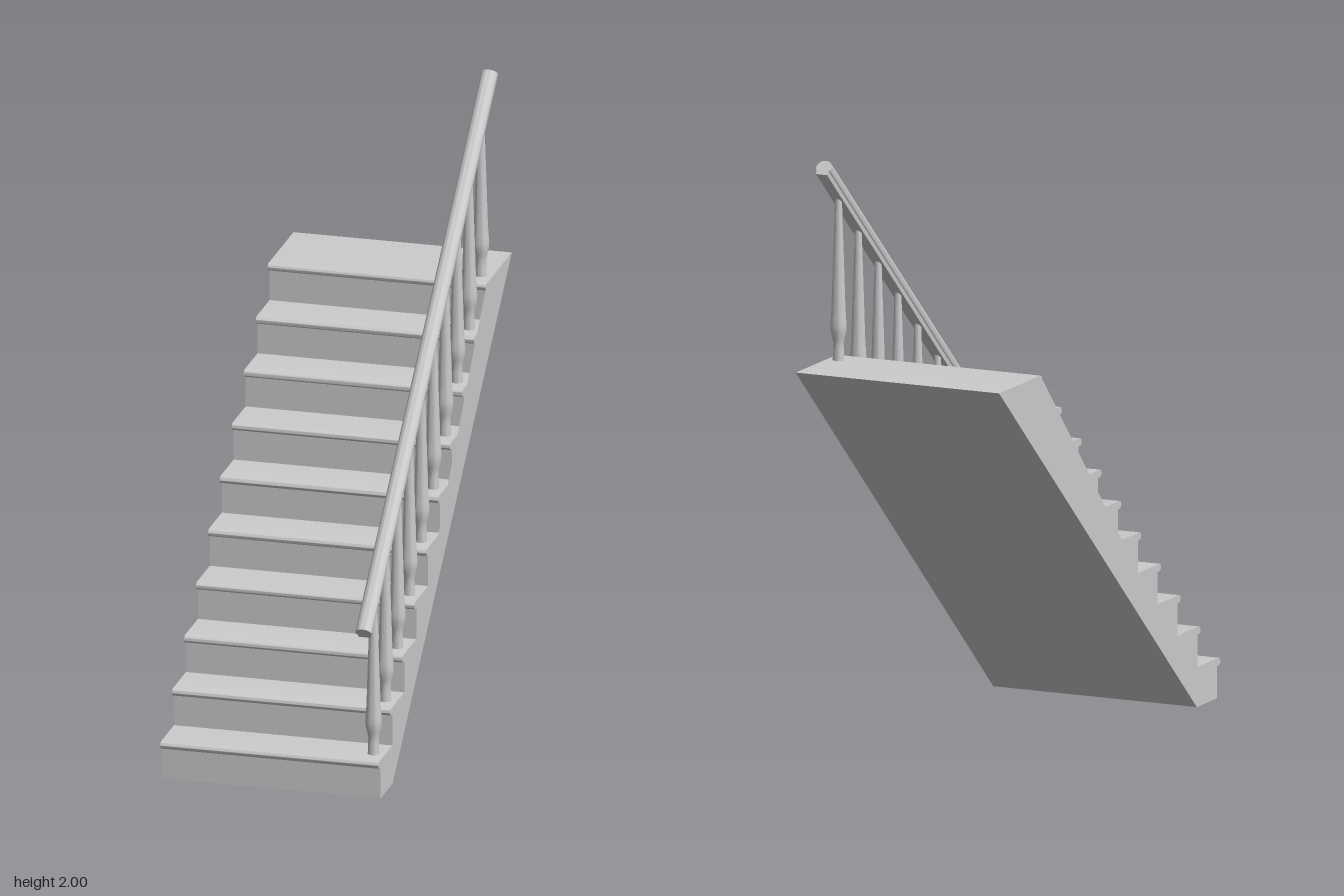
import * as THREE from 'three';
import { toCreasedNormals } from 'three/addons/utils/BufferGeometryUtils.js';

const STEPS = 10, RISE = 0.1322, RUN = 0.1463, WIDTH = 0.734;
const material = new THREE.MeshStandardMaterial({ color: 0xcccccc });

function addMesh(parent, name, geometry) {
  const mesh = new THREE.Mesh(geometry, material);
  mesh.name = name;
  parent.add(mesh);
  return mesh;
}

// Side profile (z, y) with a rounded nosing on every tread
function flightGeometry() {
  const shape = new THREE.Shape();
  const r = 0.0125;
  shape.moveTo(0.615, 0);
  for (let i = 0; i < STEPS; i++) {
    const riser = 0.765 - i * RUN;
    const top = (i + 1) * RISE;
    shape.lineTo(riser, i * RISE);
    shape.lineTo(riser, top - 2 * r);
    shape.absarc(riser + 0.024 - r, top - r, r, -Math.PI / 2, Math.PI / 2, false);
  }
  shape.lineTo(-0.845, STEPS * RISE);
  shape.closePath();
  const geometry = new THREE.ExtrudeGeometry(shape, { depth: WIDTH, bevelEnabled: false, curveSegments: 8 });
  geometry.translate(0, 0, -WIDTH / 2);
  geometry.rotateY(-Math.PI / 2);
  return toCreasedNormals(geometry, 0.6);
}

// Turned baluster: foot, vase-shaped bulge and long taper
function balusterGeometry() {
  const points = [
    [0, 0], [0.019, 0], [0.018, 0.03], [0.017, 0.055], [0.021, 0.075], [0.026, 0.095],
    [0.027, 0.115], [0.025, 0.14], [0.023, 0.17], [0.019, 0.3], [0.014, 0.45], [0.011, 0.55], [0, 0.55],
  ].map(([x, y]) => new THREE.Vector2(x, y));
  return toCreasedNormals(new THREE.LatheGeometry(points, 20), 0.6);
}

// Handrail section: rounded grip above a slightly narrower base
function railGeometry(length) {
  const shape = new THREE.Shape();
  shape.moveTo(-0.02, -0.026);
  shape.lineTo(0.02, -0.026);
  shape.lineTo(0.022, -0.011);
  shape.quadraticCurveTo(0.0275, -0.009, 0.0275, 0);
  shape.bezierCurveTo(0.0275, 0.015, 0.016, 0.026, 0, 0.026);
  shape.bezierCurveTo(-0.016, 0.026, -0.0275, 0.015, -0.0275, 0);
  shape.quadraticCurveTo(-0.0275, -0.009, -0.022, -0.011);
  shape.closePath();
  const geometry = new THREE.ExtrudeGeometry(shape, { depth: length, bevelEnabled: false, curveSegments: 8 });
  return toCreasedNormals(geometry, 0.6);
}

export function createModel() {
  const model = new THREE.Group();
  model.name = 'staircase';
  addMesh(model, 'stairFlight', flightGeometry());

  const railing = new THREE.Group();
  railing.name = 'railing';
  railing.position.x = 0.328;
  model.add(railing);

  // One baluster on each tread
  const baluster = balusterGeometry();
  for (let i = 0; i < STEPS; i++) {
    addMesh(railing, `baluster${i + 1}`, baluster).position.set(0, (i + 1) * RISE, 0.708 - i * RUN);
  }

  // Sloping handrail
  const start = new THREE.Vector3(0, 0.588, 0.83);
  const end = new THREE.Vector3(0, 1.98, -0.717);
  const rail = addMesh(railing, 'handrail', railGeometry(start.distanceTo(end)));
  rail.position.copy(start);
  rail.rotation.set(-Math.atan2(end.y - start.y, start.z - end.z), Math.PI, 0, 'YXZ');
  return model;
}
